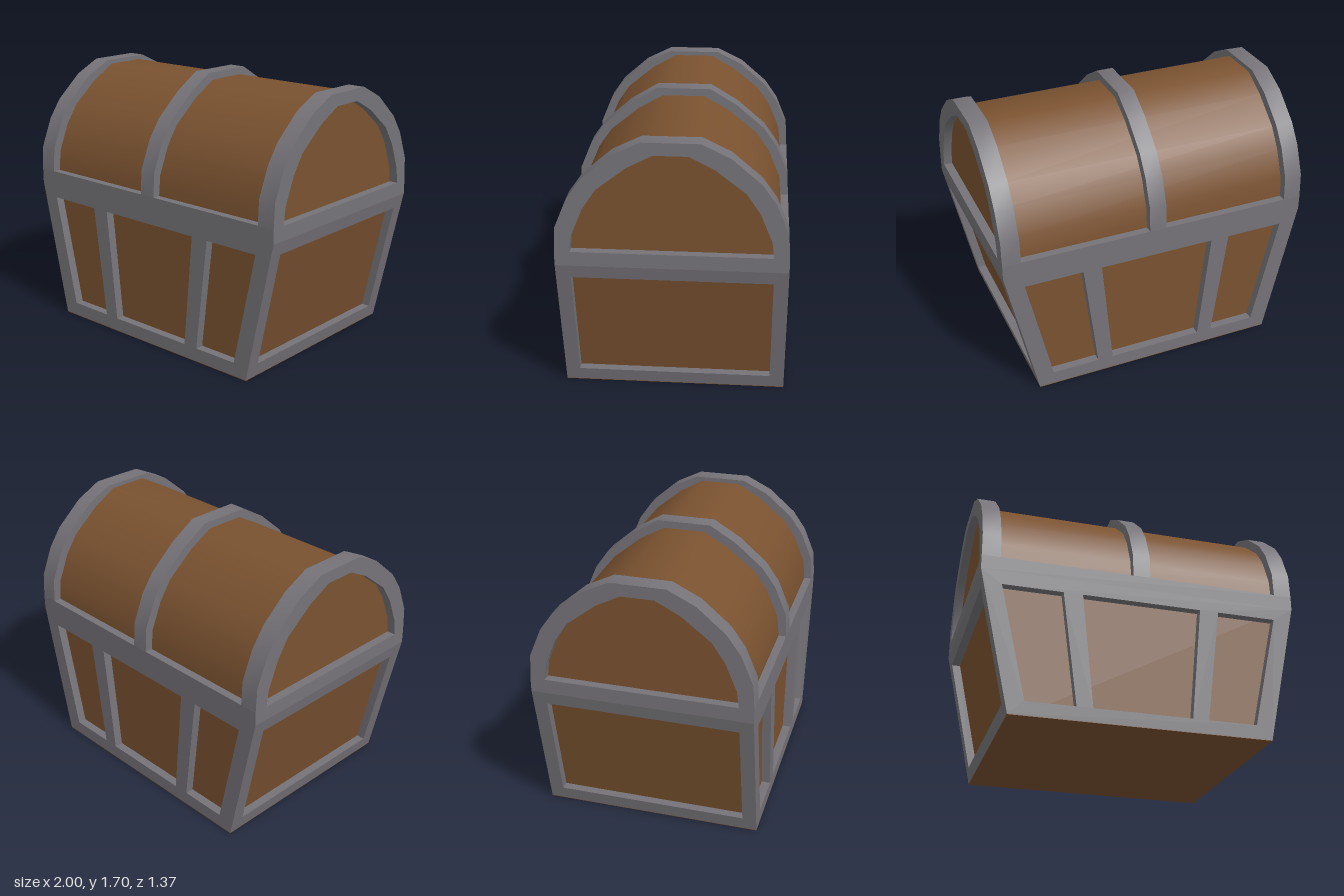
import * as THREE from 'three';
import { toCreasedNormals } from 'three/addons/utils/BufferGeometryUtils.js';

const wood = new THREE.MeshStandardMaterial({ color: 0x7a5230 });
wood.name = 'brown wood';
const iron = new THREE.MeshStandardMaterial({ color: 0x757378 });
iron.name = 'grey iron';

const HALF_Z = 0.685, INSET = 0.055, BASE = 0.004, RIM_LOW = 0.905, RIM_TOP = 0.995;
// half width of the tapering body at height y
const sideX = (y) => 0.805 + (0.195 * y) / RIM_LOW;

const toShape = (pts) => new THREE.Shape(pts.map(([x, y]) => new THREE.Vector2(x, y)));
const toHole = (pts) => new THREE.Path(pts.map(([x, y]) => new THREE.Vector2(x, y)));
const extrude = (shape, depth) => new THREE.ExtrudeGeometry(shape, { depth, bevelEnabled: false });

// half profiles of the arched lid as [z, y], from the rim to the crest
const outerHalf = [[0.685, 0.99], [0.675, 1.15], [0.6, 1.33], [0.515, 1.45], [0.34, 1.6], [0.17, 1.683]];
const innerHalf = [[0.595, 0.99], [0.58, 1.1], [0.51, 1.27], [0.43, 1.39], [0.25, 1.53], [0.1, 1.607]];
const barrelHalf = outerHalf.map(([z, y], i) => [
  (z + innerHalf[i][0]) / 2 - 0.005,
  (y + innerHalf[i][1]) / 2 + (i === 5 ? 0.01 : 0),
]);
const middleHalf = [...outerHalf.slice(0, 5), [0.17, 1.702]];
const mirror = (half) => [...half, ...half.map(([z, y]) => [-z, y]).reverse()];

// arch extruded along x, centred at cx
function arch(outer, inner, width, cx) {
  const pts = mirror(outer);
  if (inner) pts.push(...mirror(inner).reverse());
  const geo = extrude(toShape(pts), width);
  geo.translate(0, 0, -width / 2).rotateY(Math.PI / 2).translate(cx, 0, 0);
  return toCreasedNormals(geo, 0.6);
}

export function createModel() {
  const group = new THREE.Group();
  const add = (name, geo, mat) => {
    const mesh = new THREE.Mesh(geo, mat);
    mesh.name = name;
    group.add(mesh);
    return mesh;
  };

  // wooden body set back behind the iron frame
  const cx = (y) => sideX(y) - INSET;
  const core = extrude(toShape([[-cx(0), BASE], [cx(0), BASE], [cx(0.92), 0.92], [-cx(0.92), 0.92]]), 1.26);
  add('bodyPanels', core.translate(0, 0, -0.63), wood);
  add('bottomBoard', new THREE.BoxGeometry(1.61, BASE, HALF_Z * 2).translate(0, BASE / 2, 0), wood);

  // front and back frames with three openings
  const face = toShape([
    [-sideX(BASE), BASE], [sideX(BASE), BASE], [1, RIM_LOW], [-1, RIM_LOW],
  ]);
  face.holes.push(toHole([[-0.305, 0.09], [-0.375, 0.815], [0.375, 0.815], [0.305, 0.09]]));
  for (const s of [-1, 1]) {
    face.holes.push(toHole([[s * 0.405, 0.09], [s * 0.495, 0.815], [s * 0.87, 0.815], [s * 0.71, 0.09]]));
  }
  const faceGeo = extrude(face, INSET).translate(0, 0, HALF_Z - INSET);
  add('frontFrame', faceGeo, iron);
  add('backFrame', faceGeo, iron).rotation.y = Math.PI;

  // side frames, sheared to follow the slope of the body
  const side = toShape([[-HALF_Z, BASE], [HALF_Z, BASE], [HALF_Z, RIM_LOW], [-HALF_Z, RIM_LOW]]);
  side.holes.push(toHole([[-0.597, 0.09], [-0.597, 0.82], [0.597, 0.82], [0.597, 0.09]]));
  const sideGeo = extrude(side, INSET).rotateY(Math.PI / 2);
  const p = sideGeo.attributes.position;
  for (let i = 0; i < p.count; i++) p.setX(i, p.getX(i) + sideX(p.getY(i)) - INSET);
  sideGeo.computeVertexNormals();
  add('leftFrame', sideGeo, iron);
  add('rightFrame', sideGeo, iron).rotation.y = Math.PI;

  // rim between body and lid
  const rim = new THREE.BoxGeometry(2, RIM_TOP - RIM_LOW, HALF_Z * 2);
  add('rim', rim.translate(0, (RIM_TOP + RIM_LOW) / 2, 0), iron);

  // rounded wooden lid and its three iron bands
  add('lidBarrel', arch(barrelHalf, null, 1.89, 0), wood);
  add('middleBand', arch(middleHalf, innerHalf, 0.11, 0), iron);
  for (const s of [-1, 1]) {
    add(s > 0 ? 'leftBand' : 'rightBand', arch(outerHalf, innerHalf, 0.115, s * 0.9425), iron);
  }
  return group;
}
